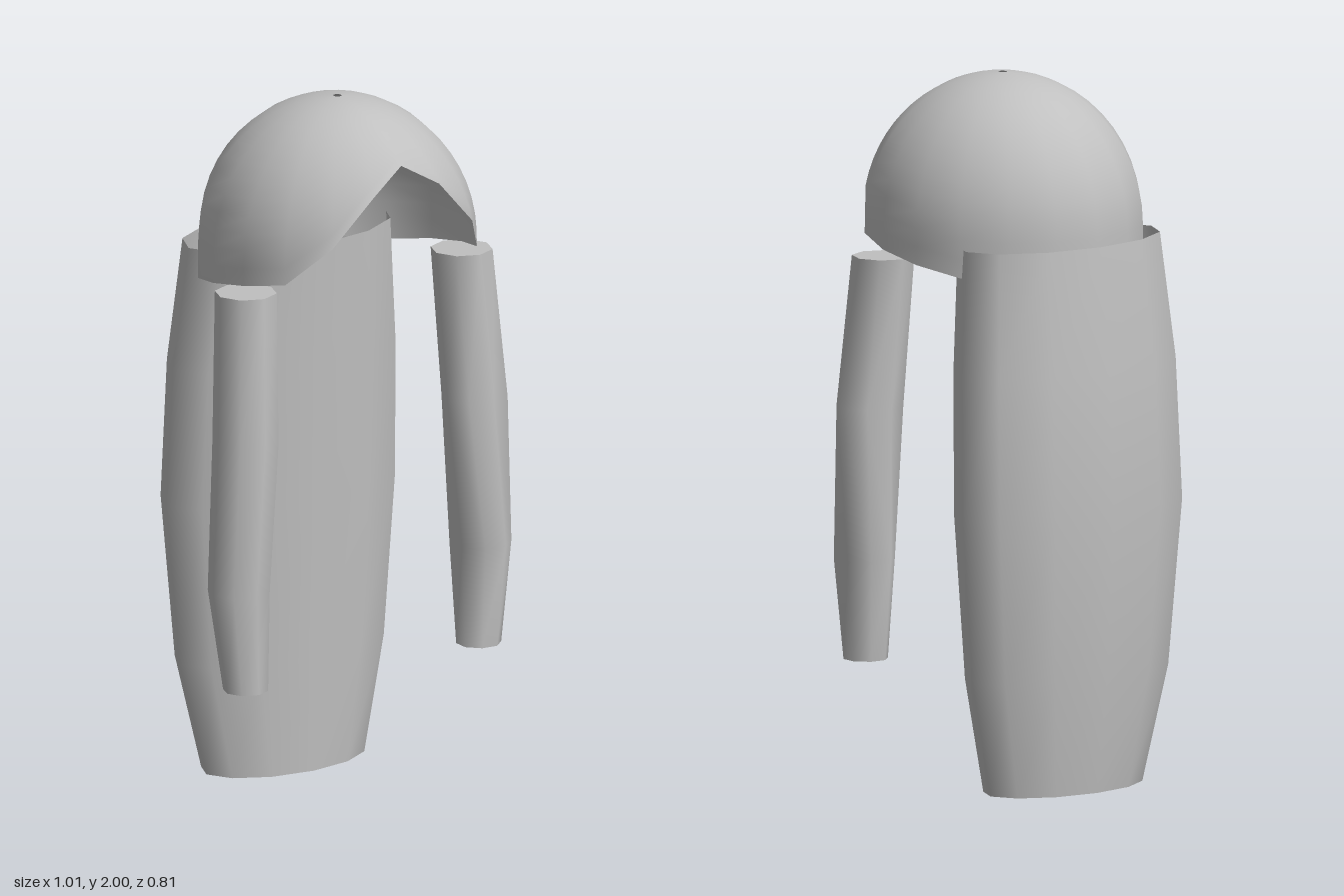
import * as THREE from 'three';

// Skin a list of rings (equal-length arrays of Vector3, seam shared) into a smooth surface.
// Rings run downward, points run counter-clockwise seen from above.
function loft(rings) {
  const n = rings[0].length, index = [];
  for (let i = 0; i < rings.length - 1; i++) {
    for (let j = 0; j < n; j++) {
      const a = i * n + j, b = i * n + (j + 1) % n;
      index.push(a, a + n, b, b, a + n, b + n);
    }
  }
  const g = new THREE.BufferGeometry().setFromPoints(rings.flat());
  g.setIndex(index);
  g.computeVertexNormals();
  return g;
}

// Flat lid over one ring
function lid(ring, up) {
  const index = [];
  for (let j = 1; j < ring.length - 1; j++) index.push(0, up ? j : j + 1, up ? j + 1 : j);
  const g = new THREE.BufferGeometry().setFromPoints(ring);
  g.setIndex(index);
  g.computeVertexNormals();
  return g;
}

// Horizontal ellipse; angle 0 points to +z and grows towards +x
function ellipse(sides, x, y, z, rx, rz, turn = 0) {
  return Array.from({ length: sides }, (_, j) => {
    const a = (j / sides) * Math.PI * 2 + turn;
    return new THREE.Vector3(x + rx * Math.sin(a), y, z + rz * Math.cos(a));
  });
}

export function createModel() {
  const model = new THREE.Group();
  model.name = 'hair';
  const hair = new THREE.MeshStandardMaterial({ color: 0xc0c0c0, side: THREE.DoubleSide });
  hair.name = 'hairGrey';
  const add = (name, geometry, parent = model) => {
    const mesh = new THREE.Mesh(geometry, hair);
    mesh.name = name;
    parent.add(mesh);
  };

  // Cap: open dome with a tiny crown hole; the rim rises to a peak over the face
  const sides = 18, rows = 14, centreY = 1.58, height = 0.42;
  const rim = [1.865, 1.8, 1.665, 1.55, 1.525, 1.5, 1.475, 1.47, 1.47, 1.47];
  const capRings = [];
  for (let i = 0; i <= rows; i++) {
    const ring = [];
    for (let j = 0; j < sides; j++) {
      const a = (j / sides) * Math.PI * 2;
      const end = rim[Math.min(j, sides - j)];
      const drop = (end - centreY) / height;
      // Below the equator the wall carries on straight down
      const last = drop > 0 ? Math.acos(drop) : Math.PI / 2 - drop;
      const t = 0.03 + (last - 0.03) * (i / rows);
      const below = Math.max(0, t - Math.PI / 2);
      const r = below > 0 ? 1 : Math.sin(t);
      const y = below > 0 ? centreY - below * height : centreY + height * Math.cos(t);
      ring.push(new THREE.Vector3(0.385 * r * Math.sin(a), y, 0.075 + 0.412 * r * Math.cos(a)));
    }
    capRings.push(ring);
  }
  add('cap', loft(capRings));

  // Long back hair: oval tube, open on top, closed below [y, half width, back z, front z]
  const back = new THREE.Group();
  back.name = 'backHair';
  const backRings = [
    [1.555, 0.34, -0.35, 0.015],
    [1.2, 0.375, -0.39, 0.005],
    [0.8, 0.387, -0.406, -0.01],
    [0.33, 0.345, -0.378, -0.025],
    [0, 0.265, -0.333, -0.037],
  ].map(([y, rx, z0, z1]) => ellipse(12, 0, y, (z0 + z1) / 2, rx, (z1 - z0) / 2));
  add('backLength', loft(backRings), back);
  add('backEnd', lid(backRings.at(-1), false), back);
  model.add(back);

  // Front locks: the left one is twisted below its middle [x, y, z, radius]
  const lockPath = [
    [0.375, 1.508, 0.152, 0.088],
    [0.398, 1.08, 0.182, 0.094],
    [0.42, 0.65, 0.18, 0.088],
    [0.405, 0.36, 0.192, 0.064],
  ];
  for (const side of [1, -1]) {
    const lock = new THREE.Group();
    lock.name = side > 0 ? 'leftLock' : 'rightLock';
    const rings = lockPath.map(([x, y, z, r], i) =>
      ellipse(8, side * x, y, z, r, r, side > 0 && i > 1 ? 1.1 : 0));
    add('lockLength', loft(rings), lock);
    add('lockTop', lid(rings[0], true), lock);
    add('lockTip', lid(rings.at(-1), false), lock);
    model.add(lock);
  }
  return model;
}
